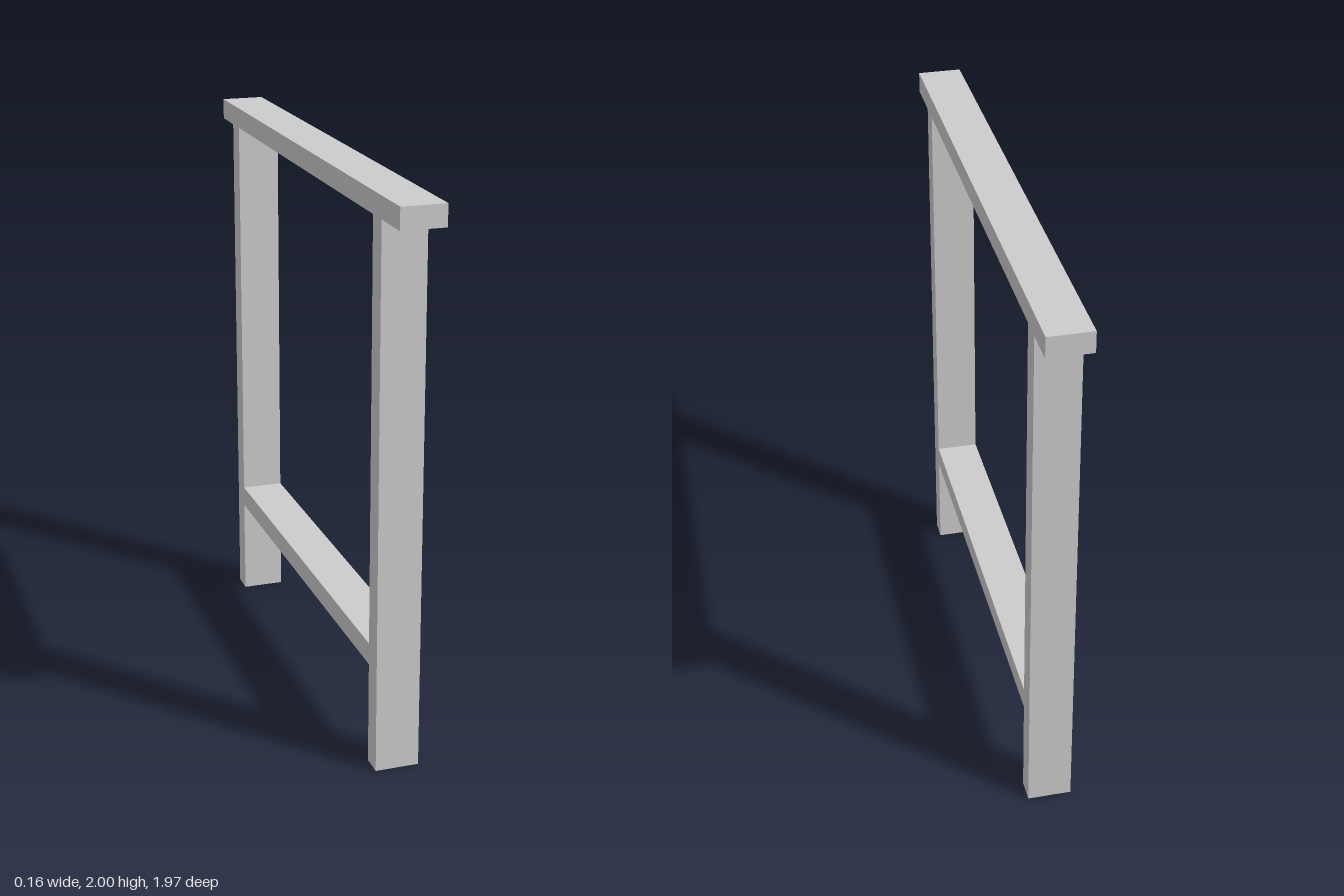
import * as THREE from 'three';

const WIDTH = 0.155;

export function createModel() {
  const group = new THREE.Group();
  const material = new THREE.MeshStandardMaterial({ color: 0xcccccc, flatShading: true });

  // Board spanning the full width in x, given by its y and z limits
  const addBoard = (name, y0, y1, z0, z1) => {
    const mesh = new THREE.Mesh(new THREE.BoxGeometry(WIDTH, y1 - y0, z1 - z0), material);
    mesh.position.set(0, (y0 + y1) / 2, (z0 + z1) / 2);
    mesh.name = name;
    group.add(mesh);
  };

  // Overhanging rail along the top
  addBoard('topRail', 1.925, 2, -0.983, 0.983);

  // Upright legs, the back one set slightly further out
  addBoard('frontLeg', 0, 1.925, 0.745, 0.823);
  addBoard('backLeg', 0, 1.925, -0.848, -0.768);

  // Low stretcher between the legs
  addBoard('stretcher', 0.368, 0.445, -0.768, 0.745);

  return group;
}
